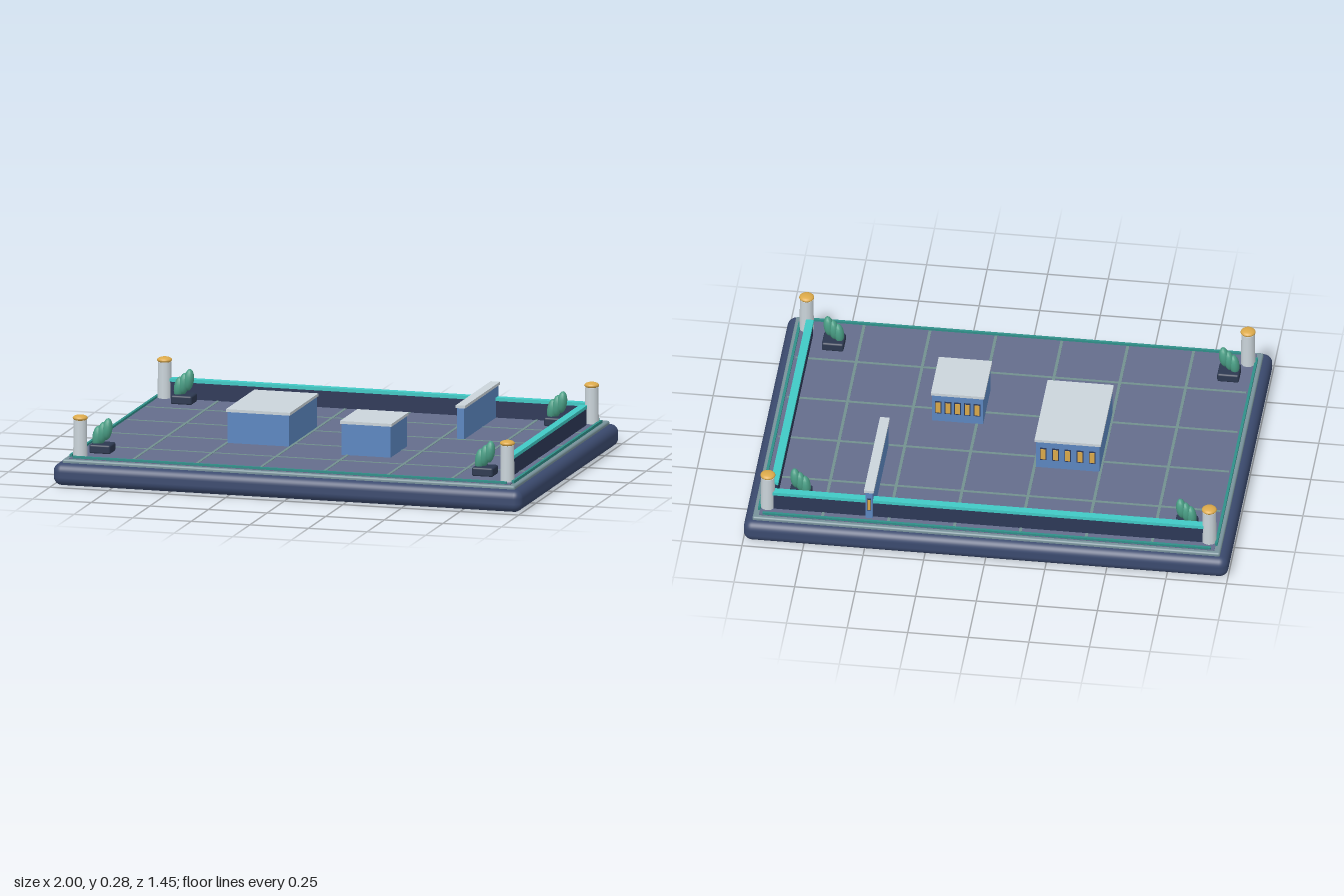
import * as THREE from 'three';
import { RoundedBoxGeometry } from 'three/addons/geometries/RoundedBoxGeometry.js';

const mat = (color) => new THREE.MeshStandardMaterial({ color });
const M = {
  base: mat(0x3b4a6e), rim: mat(0x78929a), floor: mat(0x646d8c), line: mat(0x72908f),
  wall: mat(0x2d3857), teal: mat(0x40c9c5), edge: mat(0x2f8f88), stone: mat(0xcad4da),
  gold: mat(0xdba94a), blue: mat(0x5b86c0), pot: mat(0x2c3850), leaf: mat(0x4a9f86),
};

export function createModel() {
  const root = new THREE.Group();

  const add = (name, geometry, material, x, y, z, parent = root) => {
    const mesh = new THREE.Mesh(geometry, material);
    mesh.name = name;
    mesh.position.set(x, y, z);
    parent.add(mesh);
    return mesh;
  };
  // Box given by its x, y and z ranges
  const box = (name, material, [x0, x1], [y0, y1], [z0, z1], parent) =>
    add(name, new THREE.BoxGeometry(x1 - x0, y1 - y0, z1 - z0), material,
      (x0 + x1) / 2, (y0 + y1) / 2, (z0 + z1) / 2, parent);
  const group = (name) => {
    const g = new THREE.Group();
    g.name = name;
    root.add(g);
    return g;
  };

  // Stepped platform
  add('base', new RoundedBoxGeometry(2, 0.093, 1.45, 5, 0.036), M.base, 0, 0.0465, 0);
  add('rim', new RoundedBoxGeometry(1.93, 0.03, 1.385, 3, 0.008), M.rim, 0, 0.092, 0);
  box('floor', M.floor, [-0.94, 0.94], [0.1, 0.11], [-0.675, 0.675]);

  // Floor joints
  const joints = group('floorJoints');
  for (let i = 0; i < 6; i++) {
    const x = (i - 2.5) * 0.272;
    box('joint', M.line, [x - 0.006, x + 0.006], [0.107, 0.1115], [-0.66, 0.66], joints);
  }
  for (let i = 0; i < 4; i++) {
    const z = (i - 1.5) * 0.272;
    box('joint', M.line, [-0.93, 0.93], [0.107, 0.1115], [z - 0.006, z + 0.006], joints);
  }

  // Thin edge strips around the floor
  for (const s of [-1, 1]) {
    add('edgeStrip', new THREE.BoxGeometry(1.85, 0.014, 0.011), M.edge, 0, 0.112, s * 0.668);
    add('edgeStrip', new THREE.BoxGeometry(0.011, 0.014, 1.28), M.edge, s * 0.943, 0.112, 0);
  }

  // Perimeter walls with bright caps
  box('backWall', M.wall, [-0.89, 0.89], [0.108, 0.182], [-0.627, -0.603]);
  box('backWallCap', M.teal, [-0.89, 0.89], [0.18, 0.194], [-0.631, -0.599]);
  box('sideWall', M.wall, [0.879, 0.903], [0.108, 0.182], [-0.56, 0.56]);
  box('sideWallCap', M.teal, [0.875, 0.907], [0.18, 0.194], [-0.56, 0.56]);

  // Corner posts with domed caps
  for (const sx of [-1, 1]) for (const sz of [-1, 1]) {
    const post = group('cornerPost');
    post.position.set(sx * 0.911, 0, sz * 0.612);
    add('shaft', new THREE.CylinderGeometry(0.028, 0.03, 0.155, 12), M.stone, 0, 0.1825, 0, post);
    const cap = add('cap', new THREE.SphereGeometry(0.031, 20, 12), M.gold, 0, 0.268, 0, post);
    cap.scale.y = 0.42;
  }

  // Buildings: body, overhanging roof and a row of windows at the back
  const building = (name, [x0, x1], [z0, z1], panes) => {
    const g = group(name);
    const o = 0.005;
    box('body', M.blue, [x0 + o, x1 - o], [0.108, 0.242], [z0 + o, z1 - o], g);
    box('roof', M.stone, [x0, x1], [0.24, 0.252], [z0, z1], g);
    const step = (x1 - x0 - 0.02) / panes;
    for (let i = 0; i < panes; i++) {
      const x = x0 + 0.01 + step * (i + 0.5);
      const w = Math.min(0.01, step * 0.3);
      box('windowFrame', M.wall, [x - w * 1.4, x + w * 1.4], [0.15, 0.21], [z0 + 0.002, z0 + 0.007], g);
      box('window', M.gold, [x - w, x + w], [0.155, 0.205], [z0, z0 + 0.007], g);
    }
  };
  building('largeBuilding', [-0.41, -0.137], [-0.21, 0.202], 5);
  building('smallBuilding', [0.105, 0.325], [0.05, 0.3], 5);
  building('partition', [0.47, 0.51], [-0.645, -0.138], 1);

  // Planters with three leaves rising towards +x
  const leaf = new THREE.SphereGeometry(1, 14, 10);
  for (const [x, z] of [[-0.806, -0.535], [0.786, -0.535], [-0.846, 0.512], [0.786, 0.512]]) {
    const planter = group('planter');
    planter.position.set(x, 0, z);
    add('pot', new RoundedBoxGeometry(0.09, 0.038, 0.085, 2, 0.008), M.pot, 0, 0.127, 0, planter);
    for (let i = 0; i < 3; i++) {
      const m = add('leaf', leaf, M.leaf, (i - 1) * 0.021, 0.172 + i * 0.017, 0, planter);
      m.scale.set(0.021, 0.046, 0.024);
      m.rotation.z = -0.12;
    }
  }
  return root;
}
